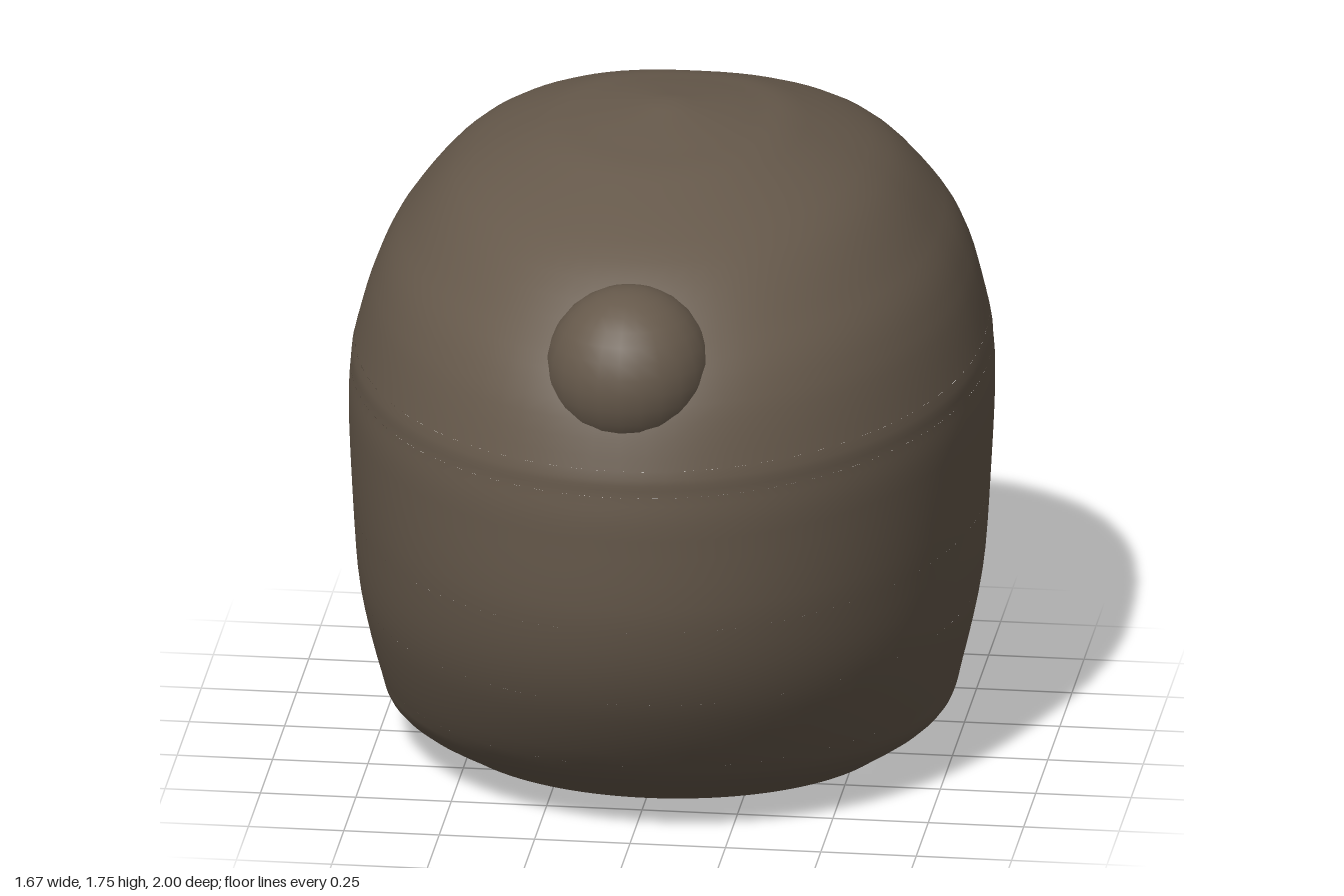
import * as THREE from 'three';

const ZC = -0.1; // axis of the rings
const N = 2.5;   // squareness of the rings on the open side

// Rings: height, half width, reach towards +z, reach towards -z
const RINGS = [
  [0, 0.58, 0.51, 0.5], [0.11, 0.72, 0.72, 0.6], [0.21, 0.757, 0.845, 0.66],
  [0.44, 0.805, 1.0, 0.73], [0.67, 0.822, 1.08, 0.81], [0.93, 0.833, 1.1, 0.86],
  [1.05, 0.828, 1.095, 0.865], [1.12, 0.818, 1.085, 0.87], [1.28, 0.77, 1.025, 0.9],
  [1.41, 0.7, 0.925, 0.83], [1.57, 0.56, 0.73, 0.66], [1.68, 0.35, 0.44, 0.4],
  [1.715, 0.21, 0.26, 0.24], [1.75, 0, 0, 0],
];
const LAST = RINGS.length - 1;
const outline = new THREE.CatmullRomCurve3(
  RINGS.map(([y, w, f]) => new THREE.Vector3(w, y, f)), false, 'catmullrom', 0.5);
const backLine = new THREE.CatmullRomCurve3(
  RINGS.map(([y, , , b]) => new THREE.Vector3(b, y, 0)), false, 'catmullrom', 0.5);

// Point on the shell: k is the ring number, a the angle around from +z
function shellPoint(k, a) {
  const t = THREE.MathUtils.clamp(k / LAST, 0, 1);
  const p = outline.getPoint(t), s = Math.sin(a), c = Math.cos(a);
  if (c >= 0) return new THREE.Vector3(p.x * s, p.y, ZC + p.z * c);
  const b = backLine.getPoint(t).x;
  return new THREE.Vector3(
    p.x * Math.sign(s) * Math.abs(s) ** (2 / N), p.y, ZC - b * (-c) ** (2 / N));
}

// Angle at which ring k meets the cutting plane z = cut
function cutAngle(k, cut) {
  if (cut === null) return Math.PI;
  const b = backLine.getPoint(k / LAST).x;
  return Math.PI - Math.acos(Math.min(1, ((ZC - cut) / b) ** (N / 2)));
}

// Band of the shell between rings k0 and k1, ending at the plane z = cut
function band(k0, k1, cut) {
  const cols = 72, rows = (k1 - k0) * 4;
  const pos = [], nor = [], idx = [], e = 0.02;
  for (let j = 0; j <= rows; j++) {
    const k = k0 + (k1 - k0) * j / rows, end = cutAngle(k, cut);
    for (let i = 0; i <= cols; i++) {
      const a = end * (2 * i / cols - 1);
      const du = shellPoint(k, a + e).sub(shellPoint(k, a - e));
      const dv = shellPoint(k + e, a).sub(shellPoint(k - e, a));
      const n = du.cross(dv).normalize();
      if (k > LAST - 0.01) n.set(0, 1, 0);
      pos.push(...shellPoint(k, a).toArray());
      nor.push(...n.toArray());
      if (i < cols && j < rows) {
        const q = j * (cols + 1) + i, r = q + cols + 1;
        idx.push(q, q + 1, r + 1, q, r + 1, r);
      }
    }
  }
  const g = new THREE.BufferGeometry();
  g.setAttribute('position', new THREE.Float32BufferAttribute(pos, 3));
  g.setAttribute('normal', new THREE.Float32BufferAttribute(nor, 3));
  g.setIndex(idx);
  return g;
}

export function createModel() {
  const model = new THREE.Group();
  model.name = 'hair';
  const brown = new THREE.MeshStandardMaterial({ color: 0x66594b, side: THREE.DoubleSide });
  brown.name = 'brown';

  // Open shell with a stepped edge around the face
  const bands = [
    ['napeHair', 0, 2, -0.25], ['lowerHair', 2, 3, -0.36], ['cheekHair', 3, 4, -0.445],
    ['templeHair', 4, 6, -0.53], ['fringeSides', 6, 7, -0.895], ['crownHair', 7, LAST, null],
  ];
  for (const [name, k0, k1, cut] of bands) {
    const mesh = new THREE.Mesh(band(k0, k1, cut), brown);
    mesh.name = name;
    model.add(mesh);
  }

  // Small bun, half sunk into the shell
  const bun = new THREE.Mesh(new THREE.SphereGeometry(0.22, 24, 16), brown);
  bun.name = 'bun';
  bun.position.set(0, 1.325, 0.765);
  model.add(bun);
  return model;
}
